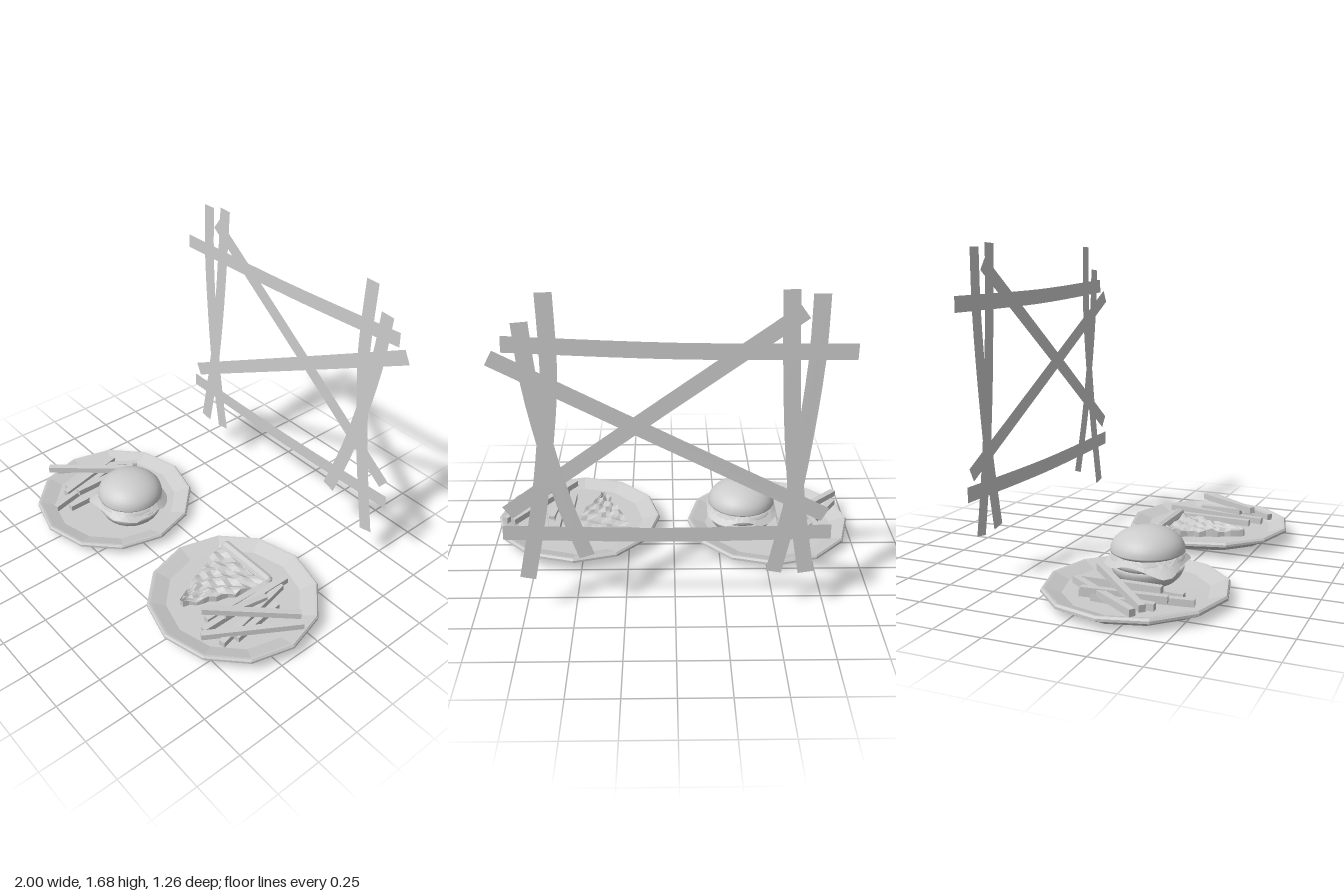
import * as THREE from 'three';

const flat = new THREE.MeshStandardMaterial({ color: 0xcccccc, flatShading: true, side: THREE.DoubleSide });
const smooth = new THREE.MeshStandardMaterial({ color: 0xcccccc, side: THREE.DoubleSide });
const V2 = (x, y) => new THREE.Vector2(x, y);

function add(parent, name, geometry, material = flat) {
  const mesh = new THREE.Mesh(geometry, material);
  mesh.name = name;
  parent.add(mesh);
  return mesh;
}

function lathe(pairs, sides) {
  return new THREE.LatheGeometry(pairs.map(([r, y]) => V2(r, y)), sides);
}

// Flat ribbon of constant width along a gently bent centre line
function ribbon(points, width = 0.078) {
  const curve = new THREE.SplineCurve(points.map(([x, y]) => V2(x, y)));
  const left = [], right = [], n = 12;
  for (let i = 0; i <= n; i++) {
    const p = curve.getPoint(i / n), t = curve.getTangent(i / n);
    const side = V2(-t.y, t.x).multiplyScalar(width / 2);
    left.push(p.clone().add(side));
    right.unshift(p.clone().sub(side));
  }
  return new THREE.ShapeGeometry(new THREE.Shape([...left, ...right]));
}

// Square stick between two points
function fry(parent, [x1, y1, z1, x2, y2, z2], size = 0.034) {
  const a = new THREE.Vector3(x1, y1, z1), b = new THREE.Vector3(x2, y2, z2);
  const mesh = add(parent, 'fry', new THREE.BoxGeometry(size, size, a.distanceTo(b)));
  mesh.position.copy(a).add(b).multiplyScalar(0.5);
  mesh.lookAt(b);
}

function plate(x, y) {
  const geometry = lathe([[0, 0.012], [0.335, 0.012], [0.345, 0], [0.37, 0], [0.38, 0.01], [0.445, 0.036],
    [0.46, 0.044], [0.46, 0.056], [0.452, 0.066], [0.44, 0.064], [0.36, 0.036], [0, 0.032]], 12);
  const group = new THREE.Group();
  add(group, 'plate', geometry);
  group.position.set(x, y, 0.17);
  return group;
}

// Slice with a narrowing, ragged outline and a lumpy top
function pizzaSlice() {
  const geometry = new THREE.BoxGeometry(1, 1, 1, 10, 1, 14);
  const p = geometry.attributes.position;
  for (let i = 0; i < p.count; i++) {
    const u = p.getX(i) * 2, t = p.getZ(i) + 0.5, top = p.getY(i) > 0;
    const half = 0.185 * (1 - t) + 0.022 * Math.sqrt(Math.max(0, 1 - t ** 8)) + 0.007 * Math.sin(t * 31 + u);
    const lump = 0.008 * Math.sin(u * 9 + t * 17) + 0.007 * Math.sin(u * 5 - t * 29);
    p.setXYZ(i, 0.415 + u * Math.max(half, 0.012), top ? 0.094 + lump : 0.06, -0.03 + t * 0.45);
  }
  geometry.computeVertexNormals();
  return geometry;
}

// Square sheet draped over the patty, corners hanging down
function cheeseSheet() {
  const geometry = new THREE.PlaneGeometry(0.39, 0.39, 12, 12).rotateX(-Math.PI / 2);
  const p = geometry.attributes.position;
  for (let i = 0; i < p.count; i++) {
    let x = p.getX(i), z = p.getZ(i);
    const r = Math.hypot(x, z);
    const corner = x < 0 && z > 0 ? 0.245 : 0.215;
    const k = r > corner ? corner / r : 1;
    x *= k;
    z *= k;
    const drop = Math.max(0, Math.hypot(x, z) - 0.165);
    p.setXYZ(i, x, 0.172 - drop * 0.8 - 0.006 * Math.sin(Math.atan2(z, x) * 5) * (r > 0.17), z);
  }
  geometry.computeVertexNormals();
  return geometry;
}

function burger() {
  const group = new THREE.Group();
  group.name = 'burger';
  add(group, 'bottomBun', lathe([[0, 0.034], [0.135, 0.036], [0.165, 0.065], [0.182, 0.1],
    [0.178, 0.118], [0, 0.12]], 24), smooth);
  add(group, 'patty', lathe([[0, 0.115], [0.172, 0.118], [0.187, 0.135], [0.184, 0.158], [0.165, 0.17], [0, 0.17]], 24), smooth);
  add(group, 'cheese', cheeseSheet());
  const dome = [[0, 0.175], [0.17, 0.176], [0.186, 0.186]];
  for (let i = 0; i <= 10; i++) {
    const a = (i / 10) * Math.PI / 2;
    dome.push([0.186 * Math.cos(a), 0.192 + 0.114 * Math.sin(a)]);
  }
  add(group, 'topBun', lathe(dome, 32), smooth);
  group.position.set(-0.385, 0, 0.165);
  return group;
}

export function createModel() {
  const model = new THREE.Group();

  // Frame of crossing flat strips behind the plates
  const frame = new THREE.Group();
  frame.name = 'stripFrame';
  const strips = {
    topRail: [[-0.81, 1.392], [0, 1.4], [0.77, 1.435]],
    bottomRail: [[-0.75, 0.468], [0.03, 0.455], [0.83, 0.472]],
    rightPostA: [[-0.633, 1.66], [-0.628, 1.35], [-0.595, 0.97], [-0.548, 0.6], [-0.48, 0.24]],
    rightPostB: [[-0.5, 1.68], [-0.515, 1.35], [-0.54, 0.97], [-0.58, 0.6], [-0.64, 0.235]],
    leftPostA: [[0.57, 1.67], [0.565, 1.3], [0.597, 0.97], [0.65, 0.6], [0.725, 0.21]],
    leftPostB: [[0.682, 1.535], [0.655, 1.24], [0.596, 0.92], [0.525, 0.625], [0.43, 0.335]],
    fallingBrace: [[-0.565, 1.58], [0.185, 1.035], [0.8, 0.58]],
    risingBrace: [[-0.715, 0.56], [0.185, 1.03], [0.83, 1.37]],
  };
  Object.entries(strips).forEach(([name, points], i) => {
    add(frame, name, ribbon(points)).position.z = -0.63 + i * 0.0005;
  });
  model.add(frame);

  // Plates
  model.add(plate(-0.54, 0), plate(0.54, 0.025));

  // Burger with a heap of fries
  model.add(burger());
  const burgerFries = new THREE.Group();
  burgerFries.name = 'burgerFries';
  [
    [-0.95, 0.115, 0.37, -0.59, 0.145, 0.0],
    [-0.94, 0.085, 0.32, -0.67, 0.095, -0.09],
    [-0.78, 0.06, 0.36, -0.79, 0.07, 0.05],
    [-0.665, 0.06, 0.51, -0.77, 0.075, -0.02],
    [-0.665, 0.1, 0.35, -0.665, 0.1, -0.05],
    [-0.615, 0.06, 0.44, -0.61, 0.075, -0.05],
    [-0.72, 0.08, 0.4, -0.8, 0.1, 0.0],
  ].forEach((f) => fry(burgerFries, f));
  model.add(burgerFries);

  // Pizza slice with its crust
  const pizza = new THREE.Group();
  pizza.name = 'pizza';
  add(pizza, 'slice', pizzaSlice());
  const crust = add(pizza, 'crust', new THREE.CapsuleGeometry(0.031, 0.33, 3, 8, 8));
  crust.rotation.z = Math.PI / 2;
  crust.position.set(0.417, 0.098, -0.03);
  model.add(pizza);

  // Fries beside the pizza
  const pizzaFries = new THREE.Group();
  pizzaFries.name = 'pizzaFries';
  [
    [0.58, 0.165, 0.42, 0.9, 0.135, 0.03],
    [0.67, 0.11, 0.5, 0.95, 0.125, 0.06],
    [0.59, 0.085, 0.4, 0.605, 0.085, -0.05],
    [0.64, 0.09, 0.46, 0.655, 0.115, -0.1],
    [0.76, 0.085, 0.44, 0.67, 0.105, -0.05],
    [0.78, 0.085, 0.36, 0.755, 0.105, 0.06],
    [0.65, 0.13, 0.33, 0.69, 0.12, 0.08],
  ].forEach((f) => fry(pizzaFries, f));
  model.add(pizzaFries);

  return model;
}
